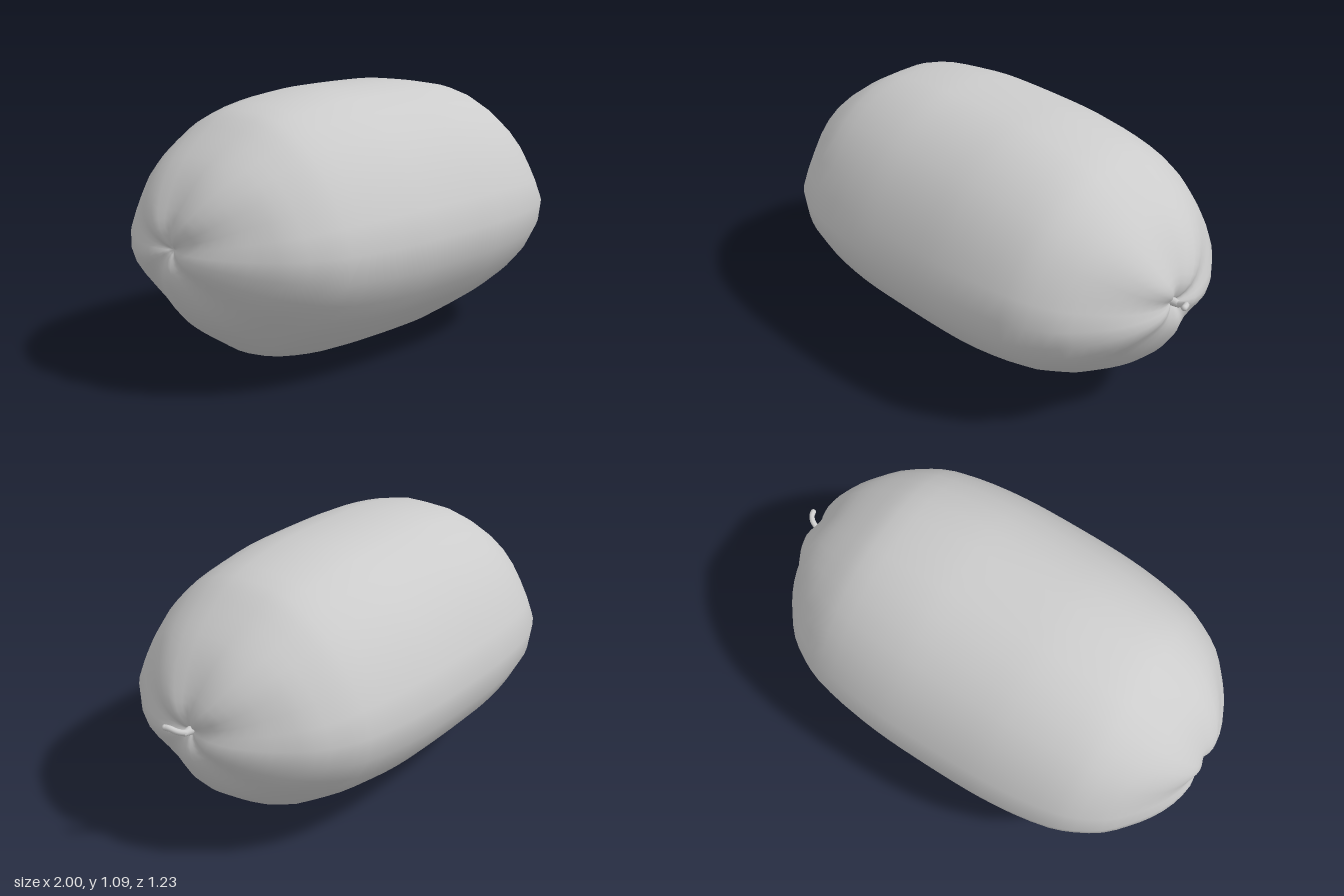
import * as THREE from 'three';
import { mergeVertices } from 'three/addons/utils/BufferGeometryUtils.js';

const CX = -0.035, CY = 0.56; // centre of the fruit

// Radius of the widest cross-section every 15 degrees, from bottom to top
const RADII = [0.555, 0.549, 0.53, 0.54, 0.568, 0.603, 0.615, 0.578, 0.562, 0.553, 0.548, 0.545, 0.535];
// Half of the length profile: distance from the middle, vertical and sideways scale
const PROFILE = [
  [0, 1, 1], [0.14, 0.998, 0.998], [0.26, 0.99, 0.99], [0.41, 0.955, 0.965],
  [0.565, 0.89, 0.915], [0.665, 0.79, 0.85], [0.765, 0.665, 0.75], [0.84, 0.55, 0.62],
  [0.9, 0.42, 0.49], [0.945, 0.28, 0.34], [0.965, 0.16, 0.18], [0.95, 0.06, 0.065], [0.925, 0, 0],
];

function sectionRadius(angle) {
  // mirror the half section left to right
  const up = Math.asin(Math.sin(angle));
  const f = Math.min(11.9999, (up / Math.PI + 0.5) * 12);
  const i = Math.floor(f), at = (k) => RADII[k < 0 ? -k : k > 12 ? 24 - k : k];
  const t = f - i, p0 = at(i - 1), p1 = at(i), p2 = at(i + 1), p3 = at(i + 2);
  return p1 + 0.5 * t * (p2 - p0 + t * (2 * p0 - 5 * p1 + 4 * p2 - p3 + t * (3 * (p1 - p2) + p3 - p0)));
}

// Lofted five-lobed body with dimpled, creased ends
function bodyGeometry() {
  const half = new THREE.CatmullRomCurve3(PROFILE.map((p) => new THREE.Vector3(...p)));
  const N = 24, SEG = 32, pos = [], index = [];
  for (let i = -N; i <= N; i++) {
    const p = half.getPoint(Math.abs(i) / N);
    const s = Math.max(0, p.y);
    for (let j = 0; j < SEG; j++) {
      const a = (j / SEG) * Math.PI * 2;
      const r = sectionRadius(a);
      const trough = (1 - Math.cos(5 * (a + Math.PI / 2))) / 2;
      const x = p.x - 0.15 * trough * s * (1 - s) ** 2;
      pos.push(CX + Math.sign(i) * x, CY + r * s * Math.sin(a), r * Math.max(0, p.z) * Math.cos(a));
    }
  }
  for (let i = 0; i < 2 * N; i++) {
    for (let j = 0; j < SEG; j++) {
      const k = (j + 1) % SEG;
      const a = i * SEG + j, b = a + SEG, c = (i + 1) * SEG + k, d = i * SEG + k;
      if (i < 2 * N - 1) index.push(a, b, c);
      else index.push(a, b, d);
      if (i > 0 && i < 2 * N - 1) index.push(a, c, d);
    }
  }
  const geo = new THREE.BufferGeometry();
  geo.setAttribute('position', new THREE.Float32BufferAttribute(pos, 3));
  geo.setIndex(index);
  const merged = mergeVertices(geo, 1e-5);
  merged.computeVertexNormals();
  return merged;
}

export function createModel() {
  const model = new THREE.Group();
  const material = new THREE.MeshStandardMaterial({ color: 0xcccccc });
  const add = (name, geometry, parent = model) => {
    const mesh = new THREE.Mesh(geometry, material);
    mesh.name = name;
    parent.add(mesh);
    return mesh;
  };

  add('fruitBody', bodyGeometry());

  // Short curled stem with a flared foot and rounded tip
  const stem = new THREE.Group();
  stem.name = 'stem';
  model.add(stem);
  const path = new THREE.CatmullRomCurve3([
    new THREE.Vector3(0.88, 0.56, 0), new THREE.Vector3(0.93, 0.565, 0),
    new THREE.Vector3(0.965, 0.583, 0.008), new THREE.Vector3(0.982, 0.597, 0.025),
    new THREE.Vector3(0.988, 0.598, 0.044),
  ]);
  add('stemStalk', new THREE.TubeGeometry(path, 16, 0.012, 10), stem);
  add('stemTip', new THREE.SphereGeometry(0.012, 10, 8), stem).position.copy(path.getPoint(1));
  const foot = add('stemFoot', new THREE.CylinderGeometry(0.011, 0.022, 0.06, 12), stem);
  foot.rotation.z = -Math.PI / 2;
  foot.position.set(0.91, 0.563, 0);

  return model;
}
